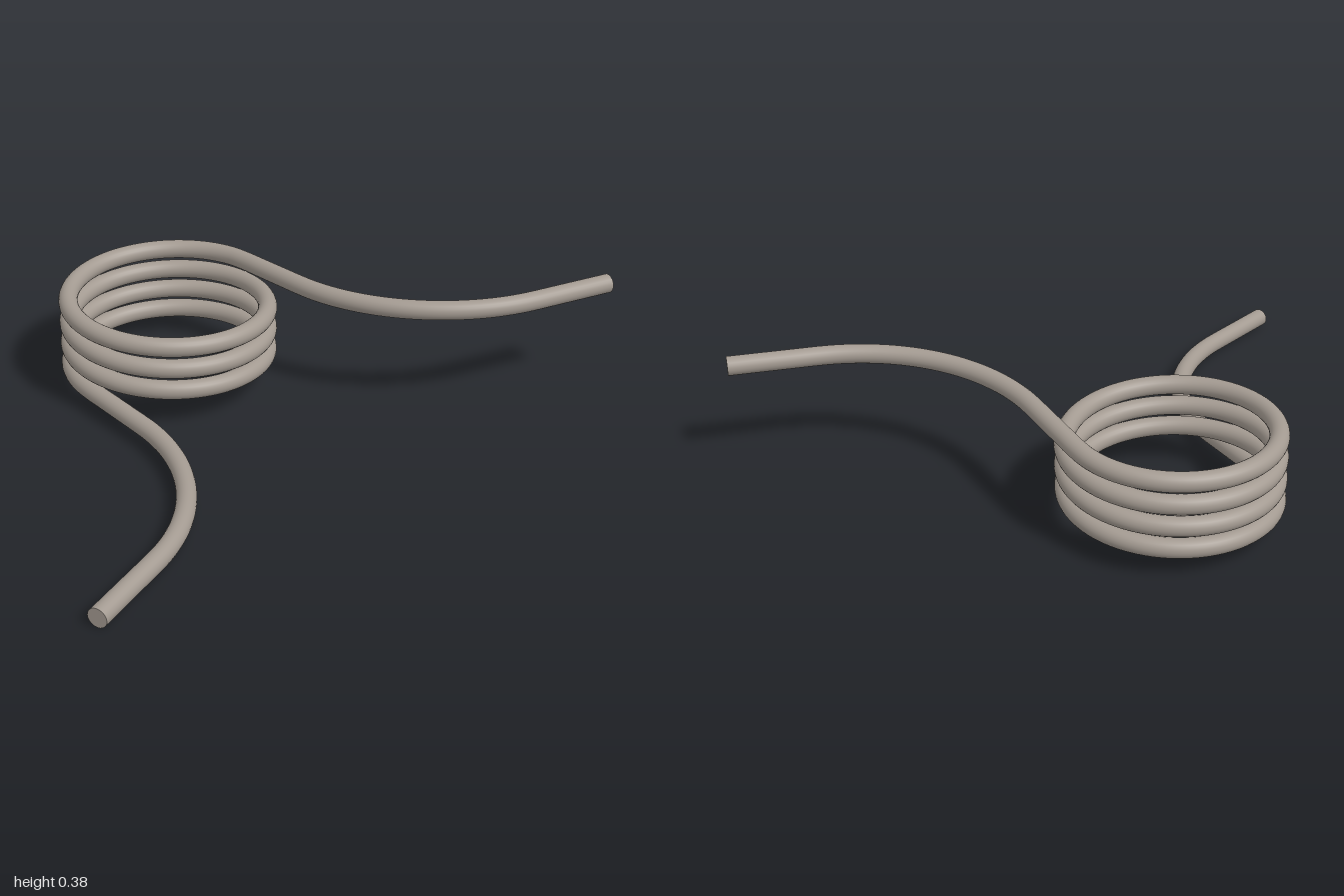
import * as THREE from 'three';

const WIRE = 0.03;                       // wire radius
const R = 0.315, CX = -0.03, CZ = -0.31; // coil centreline radius and centre
const TURNS = 3.5, PITCH = 0.0725, Y0 = 0.068;
const SLOPE = 0.037;                     // rise of the legs along z

// Leg leaving the coil tangentially: straight run, bend, then straight end
function legPoints(side, y, bendRadius, tilt, endX) {
  const x0 = CX + side * R, zStart = -0.04, pts = [];
  const add = (x, z) => pts.push(new THREE.Vector3(x, y + side * SLOPE * (z - CZ), z));
  for (const t of [0.33, 0.67]) add(x0, CZ + (zStart - CZ) * t);
  const turn = Math.PI / 2 - tilt, n = 16;
  let x, z;
  for (let i = 0; i <= n; i++) {
    const a = (turn * i) / n;
    x = x0 + side * bendRadius * (1 - Math.cos(a));
    z = zStart + bendRadius * Math.sin(a);
    add(x, z);
  }
  const run = endX - Math.abs(x);
  for (const t of [0.25, 0.5, 0.75, 1]) {
    add(x + side * run * t, z + run * t * Math.tan(tilt));
  }
  return pts;
}

export function createModel() {
  const group = new THREE.Group();
  group.name = 'torsionSpring';
  const material = new THREE.MeshStandardMaterial({ color: 0xa39a91 });

  // Helical coil centreline, from the left side round the back and up
  const coil = [];
  const steps = TURNS * 32;
  for (let i = 0; i <= steps; i++) {
    const turn = i / 32, a = turn * Math.PI * 2;
    coil.push(new THREE.Vector3(CX - R * Math.cos(a), Y0 + PITCH * turn, CZ - R * Math.sin(a)));
  }

  // One continuous wire: lower leg, coil, upper leg
  const lower = legPoints(-1, Y0, 0.59, THREE.MathUtils.degToRad(20), 0.99);
  const upper = legPoints(1, Y0 + PITCH * TURNS, 0.6, THREE.MathUtils.degToRad(15), 0.992);
  const path = new THREE.CatmullRomCurve3([...lower.reverse(), ...coil, ...upper]);
  path.arcLengthDivisions = 2000;
  const wire = new THREE.Mesh(new THREE.TubeGeometry(path, 480, WIRE, 24), material);
  wire.name = 'springWire';
  group.add(wire);

  // Flat cut ends
  for (const [name, t, dir] of [['lowerEnd', 0, -1], ['upperEnd', 1, 1]]) {
    const cap = new THREE.Mesh(new THREE.CircleGeometry(WIRE, 24), material);
    cap.name = name;
    cap.position.copy(path.getPointAt(t));
    cap.lookAt(cap.position.clone().addScaledVector(path.getTangentAt(t), dir));
    group.add(cap);
  }
  return group;
}
